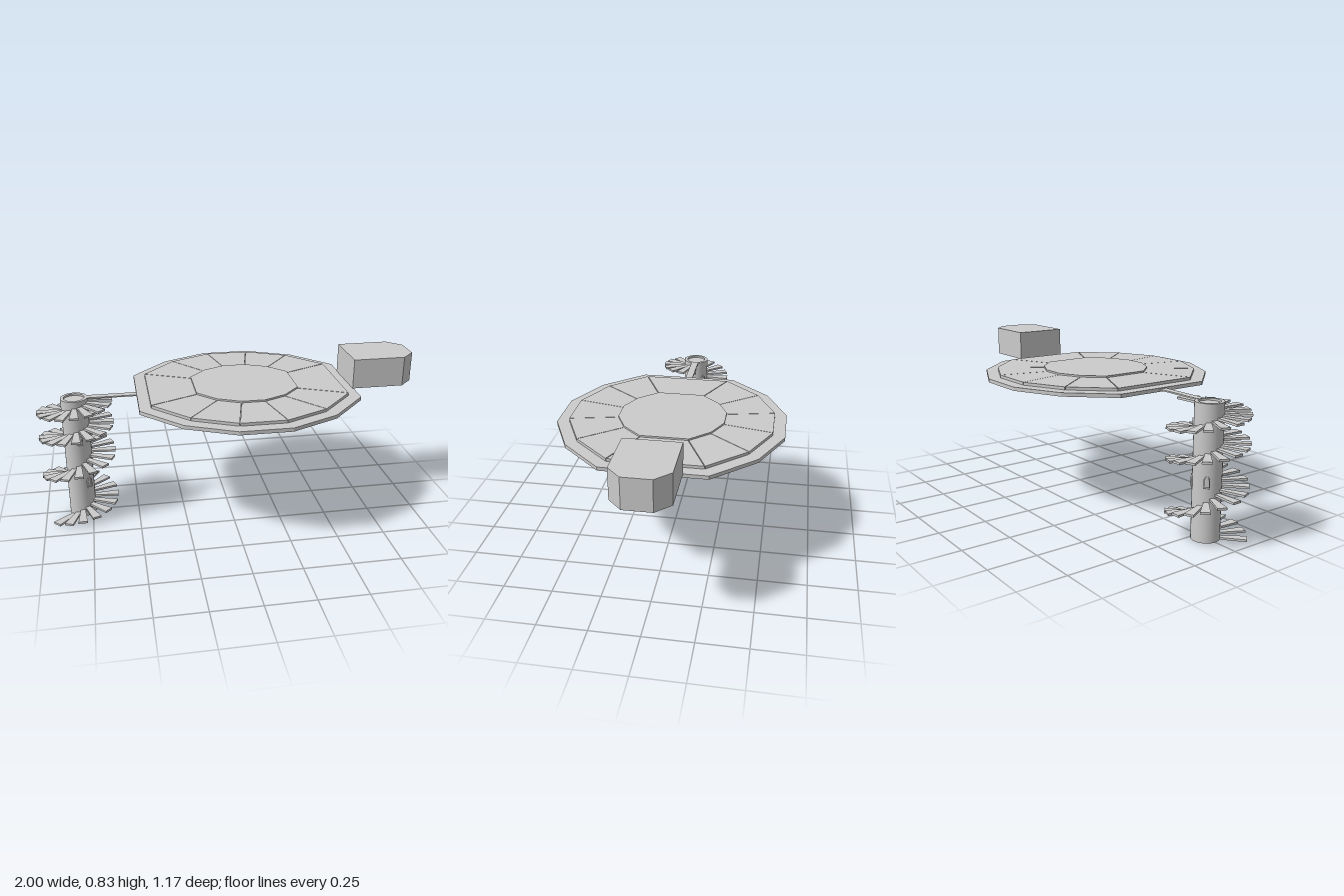
import * as THREE from 'three';
import { toCreasedNormals } from 'three/addons/utils/BufferGeometryUtils.js';

const material = new THREE.MeshStandardMaterial({ color: 0xcccccc, flatShading: true });
const smooth = new THREE.MeshStandardMaterial({ color: 0xcccccc, side: THREE.DoubleSide });

// Horizontal slab from an outline in (x, z)
function slab(name, outline, y0, y1) {
  const shape = new THREE.Shape(outline.map(([x, z]) => new THREE.Vector2(x, -z)));
  const geo = new THREE.ExtrudeGeometry(shape, { depth: y1 - y0, bevelEnabled: false });
  geo.rotateX(-Math.PI / 2).translate(0, y0, 0);
  const mesh = new THREE.Mesh(geo, material);
  mesh.name = name;
  return mesh;
}

// Twelve-sided outline, mirrored from one quarter
function ringOutline(s) {
  const q = [[0.57, 0.26], [0.375, 0.47], [0.13, 0.585]];
  const half = [...q, ...q.map(([x, z]) => [-x, z]).reverse()];
  return [...half, ...half.map(([x, z]) => [x, -z]).reverse()].map(([x, z]) => [0.09 + x * s, z * s]);
}

function createPlatform() {
  const group = new THREE.Group();
  group.name = 'platform';
  group.add(slab('platformBase', ringOutline(1), 0.658, 0.677));
  group.add(slab('centreDisc', ringOutline(0.47), 0.67, 0.701));
  // Ring of panels with hairline seams
  const outer = ringOutline(0.895), inner = ringOutline(0.47);
  const mix = (a, b, t) => [a[0] + (b[0] - a[0]) * t, a[1] + (b[1] - a[1]) * t];
  for (let i = 0; i < 12; i++) {
    const j = (i + 1) % 12;
    group.add(slab('ringPanel', [
      mix(outer[i], outer[j], 0.006), mix(outer[i], outer[j], 0.994),
      mix(inner[i], inner[j], 0.988), mix(inner[i], inner[j], 0.012),
    ], 0.67, 0.692));
  }
  return group;
}

// Height of the stair at each quarter turn, starting from the front
const RISE = [0.035, 0.09, 0.16, 0.235, 0.3, 0.36, 0.41, 0.455, 0.495, 0.525, 0.555, 0.597, 0.627, 0.65];
function stairHeight(q) {
  if (q < 0) return 0.035 + q * 0.06;
  const i = Math.min(Math.floor(q), RISE.length - 2);
  return RISE[i] + (RISE[i + 1] - RISE[i]) * (q - i);
}

// Pointed window frame with a recessed pane
function createWindow(angle, y) {
  const arch = (w, h, p) => [[-w, -h], [w, -h], [w, h * 0.4], [w * 0.6, h * 0.8], [0, p], [-w * 0.6, h * 0.8], [-w, h * 0.4]]
    .map(([a, b]) => new THREE.Vector2(a, b));
  const frame = new THREE.Shape(arch(0.015, 0.03, 0.032));
  frame.holes.push(new THREE.Path(arch(0.01, 0.024, 0.025)));
  const group = new THREE.Group();
  group.name = 'window';
  const mesh = new THREE.Mesh(new THREE.ExtrudeGeometry(frame, { depth: 0.012, bevelEnabled: false }), material);
  mesh.name = 'windowFrame';
  mesh.position.z = 0.063;
  group.add(mesh);
  group.rotation.y = angle * Math.PI / 180;
  group.position.y = y;
  return group;
}

function createTower() {
  const group = new THREE.Group();
  group.name = 'tower';
  // Shaft with a shallow recess inside its rim
  const profile = [[0, 0], [0.07, 0], [0.07, 0.67], [0.053, 0.67], [0.053, 0.66], [0, 0.66]]
    .map(([r, y]) => new THREE.Vector2(r, y));
  const shaft = new THREE.Mesh(toCreasedNormals(new THREE.LatheGeometry(profile, 32), 0.6), smooth);
  shaft.name = 'towerShaft';
  group.add(shaft);
  // Spiral of flaring steps, sixteen to a turn
  for (let i = -2; i <= 52; i++) {
    const q = i / 4;
    const step = slab('step', [[-0.012, 0.06], [0.012, 0.06], [0.024, 0.196], [-0.024, 0.196]], 0, 0.011);
    step.rotation.y = q * Math.PI / 2;
    step.position.y = Math.max(0, stairHeight(q) - 0.005);
    group.add(step);
  }
  for (const [angle, y] of [[40, 0.2], [12, 0.45], [140, 0.29], [135, 0.555], [225, 0.3]]) {
    group.add(createWindow(angle, y));
  }
  group.position.x = -0.803;
  return group;
}

export function createModel() {
  const model = new THREE.Group();
  model.name = 'towerAndPlatform';
  model.add(createTower(), createPlatform());
  // Narrow walkway from tower to platform
  model.add(slab('walkway', [[-0.745, -0.02], [-0.745, 0.02], [-0.47, 0.02], [-0.47, -0.02]], 0.664, 0.671));
  // Block with chamfered end on the far side
  model.add(slab('endBlock', [
    [0.655, -0.141], [0.93, -0.141], [1, -0.07], [1, 0.07], [0.93, 0.138], [0.655, 0.138],
  ], 0.677, 0.835));
  return model;
}
